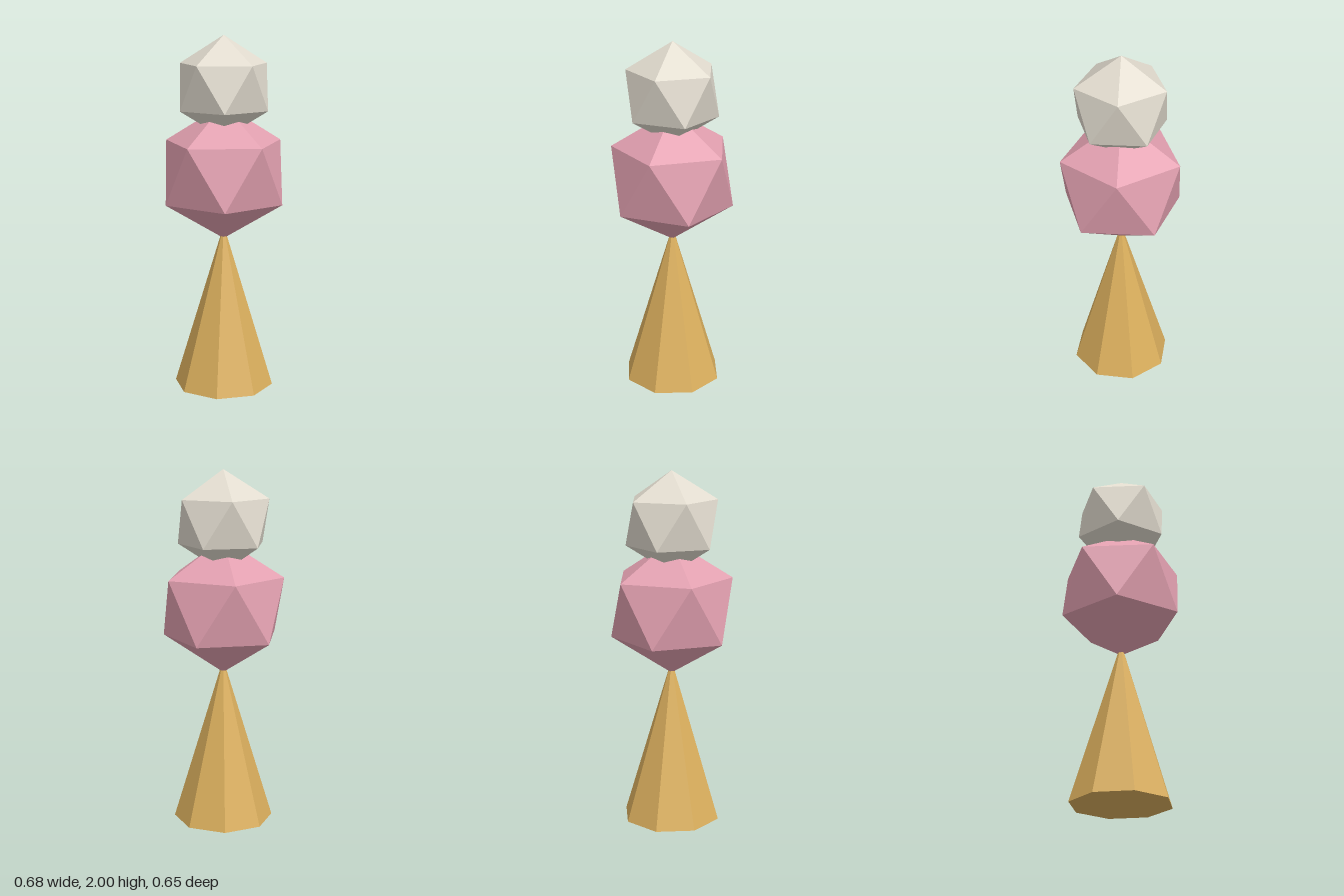
import * as THREE from 'three';

function material(name, color) {
  const m = new THREE.MeshStandardMaterial({ color });
  m.name = name;
  m.flatShading = true;
  return m;
}

// Icosahedron standing on one vertex, with an upper-ring vertex towards +x
function scoop(name, radius, y, mat) {
  const geo = new THREE.IcosahedronGeometry(radius, 0);
  geo.rotateZ(-Math.atan(2 / (1 + Math.sqrt(5))));
  const mesh = new THREE.Mesh(geo, mat);
  mesh.name = name;
  mesh.position.y = y;
  return mesh;
}

export function createModel() {
  const group = new THREE.Group();
  group.name = 'stackedScoops';

  // Eight-sided cone, its tip hidden inside the lower scoop
  const coneHeight = 0.935;
  const cone = new THREE.Mesh(
    new THREE.ConeGeometry(0.283, coneHeight, 8),
    material('gold', 0xdcb05e)
  );
  cone.name = 'cone';
  cone.position.y = coneHeight / 2;
  group.add(cone);

  // Two faceted scoops
  group.add(scoop('lowerScoop', 0.38, 1.24, material('pink', 0xe2a0b0)));
  group.add(scoop('upperScoop', 0.284, 1.716, material('cream', 0xe2dccf)));

  return group;
}
